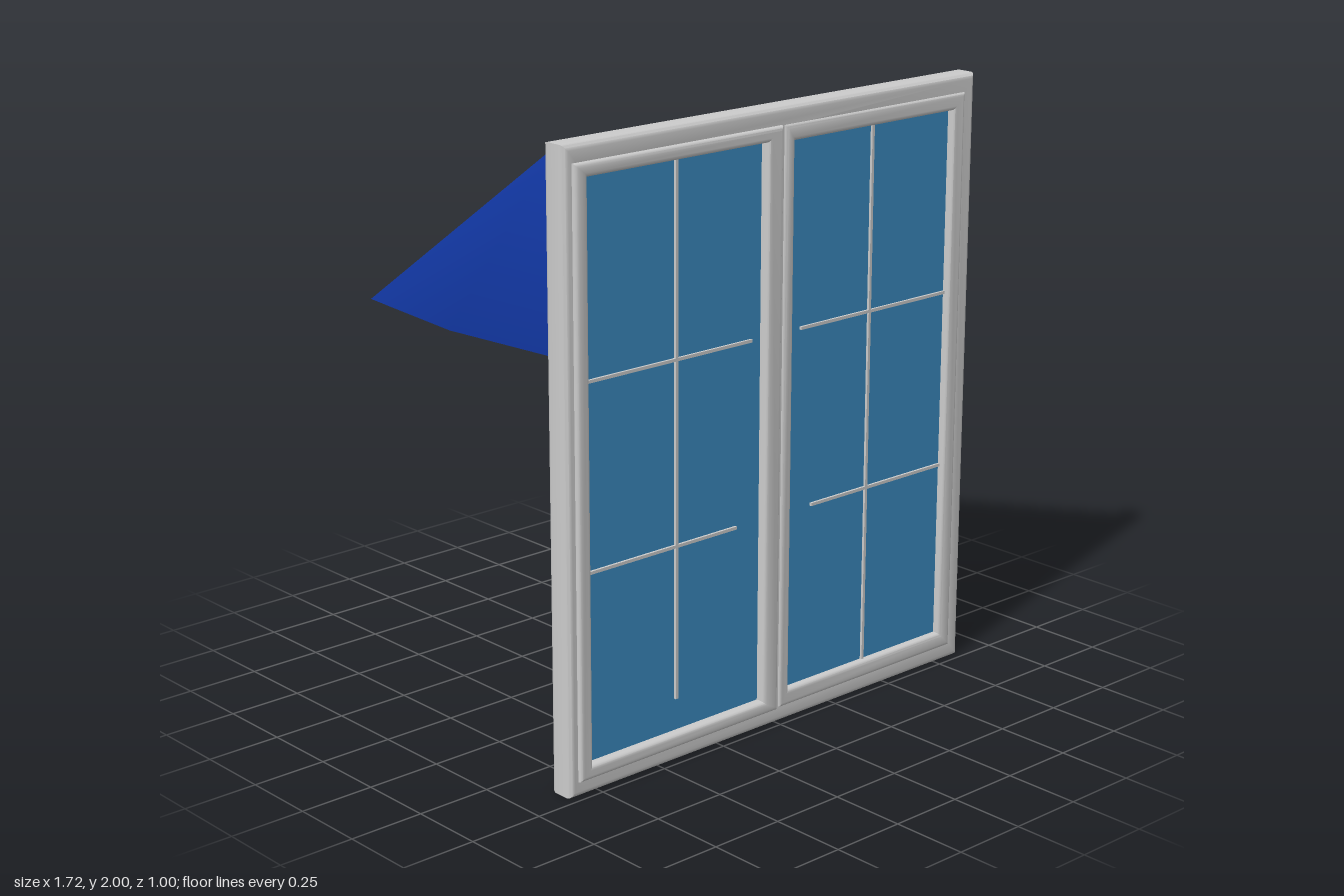
import * as THREE from 'three';
import { toCreasedNormals } from 'three/addons/utils/BufferGeometryUtils.js';

const grey = new THREE.MeshStandardMaterial({ color: 0xcccccc });
const glassMat = new THREE.MeshStandardMaterial({ color: 0x3a8abf, side: THREE.DoubleSide });
const awningMat = new THREE.MeshStandardMaterial({ color: 0x1136a0, side: THREE.DoubleSide });

function rect(Type, x0, y0, x1, y1) {
  const p = new Type();
  p.moveTo(x0, y0);
  p.lineTo(x1, y0);
  p.lineTo(x1, y1);
  p.lineTo(x0, y1);
  p.closePath();
  return p;
}

// Rectangular frame with openings; bevels stay inside the given outline and depth
function frame(name, outer, openings, z0, z1, b) {
  const [x0, y0, x1, y1] = outer;
  const shape = rect(THREE.Shape, x0 + b, y0 + b, x1 - b, y1 - b);
  for (const [a, c, d, e] of openings) {
    shape.holes.push(rect(THREE.Path, a - b, c - b, d + b, e + b));
  }
  let geo = new THREE.ExtrudeGeometry(shape, {
    depth: z1 - z0 - 2 * b, bevelEnabled: true, bevelSize: b, bevelThickness: b, bevelSegments: 3,
  });
  geo.translate(0, 0, z0 + b);
  geo = toCreasedNormals(geo, 0.7);
  const mesh = new THREE.Mesh(geo, grey);
  mesh.name = name;
  return mesh;
}

function box(name, x0, y0, z0, x1, y1, z1, mat) {
  const mesh = new THREE.Mesh(new THREE.BoxGeometry(x1 - x0, y1 - y0, z1 - z0), mat);
  mesh.position.set((x0 + x1) / 2, (y0 + y1) / 2, (z0 + z1) / 2);
  mesh.name = name;
  return mesh;
}

// Sloping canopy with side cheeks, open underneath
function awning() {
  const xs = [-0.83, -0.4, 0, 0.4, 0.81];
  const n = xs.length;
  const pos = [], index = [];
  for (const x of xs) pos.push(x, 1.97, 0.39, x, 1.36, -0.5);
  for (let i = 0; i < n - 1; i++) {
    const a = 2 * i;
    index.push(a, a + 2, a + 1, a + 2, a + 3, a + 1);
  }
  for (const end of [0, n - 1]) {
    const ridge = 2 * end, tip = ridge + 1, mid = pos.length / 3, wall = mid + 1;
    pos.push(xs[end], 1.34, -0.1, xs[end], 1.36, 0.39);
    if (end) index.push(ridge, tip, mid, ridge, mid, wall);
    else index.push(ridge, mid, tip, ridge, wall, mid);
  }
  // the cheeks face outward on both ends
  for (let i = 6 * (n - 1); i < index.length; i += 3) {
    [index[i + 1], index[i + 2]] = [index[i + 2], index[i + 1]];
  }
  const geo = new THREE.BufferGeometry();
  geo.setAttribute('position', new THREE.Float32BufferAttribute(pos, 3));
  geo.setIndex(index);
  geo.computeVertexNormals();
  const mesh = new THREE.Mesh(geo, awningMat);
  mesh.name = 'awning';
  return mesh;
}

export function createModel() {
  const group = new THREE.Group();
  group.name = 'windowWithAwning';

  // Fixed outer frame with centre mullion
  group.add(frame('outerFrame', [-0.86, 0, 0.86, 2],
    [[-0.79, 0.08, -0.05, 1.92], [0.05, 0.08, 0.79, 1.92]], 0.39, 0.48, 0.018));

  // Two sashes: outline, opening, front depth, glazing bars
  const sashes = [
    { name: 'rightSash', outer: [-0.83, 0.05, -0.005, 1.945], open: [-0.78, 0.095, -0.07, 1.9],
      front: 0.495, barX: -0.42, barBottom: 0.2, rows: [[0.7, -0.775, -0.17], [1.29, -0.775, -0.11]] },
    { name: 'leftSash', outer: [0.005, 0.05, 0.81, 1.945], open: [0.05, 0.105, 0.755, 1.89],
      front: 0.488, barX: 0.405, barBottom: 0.1, rows: [[0.7, 0.155, 0.755], [1.29, 0.1, 0.755]] },
  ];
  for (const s of sashes) {
    const sash = new THREE.Group();
    sash.name = s.name;
    const [x0, y0, x1, y1] = s.open;
    sash.add(frame('sashFrame', s.outer, [s.open], 0.42, s.front, 0.014));
    sash.add(box('glass', x0 - 0.01, y0 - 0.01, 0.452, x1 + 0.01, y1 + 0.01, 0.462, glassMat));
    const t = 0.005;
    sash.add(box('verticalBar', s.barX - t, s.barBottom, 0.455, s.barX + t, y1, 0.47, grey));
    for (const [y, a, b] of s.rows) {
      sash.add(box('horizontalBar', a, y - t, 0.455, b, y + t, 0.47, grey));
    }
    group.add(sash);
  }

  group.add(awning());
  return group;
}
